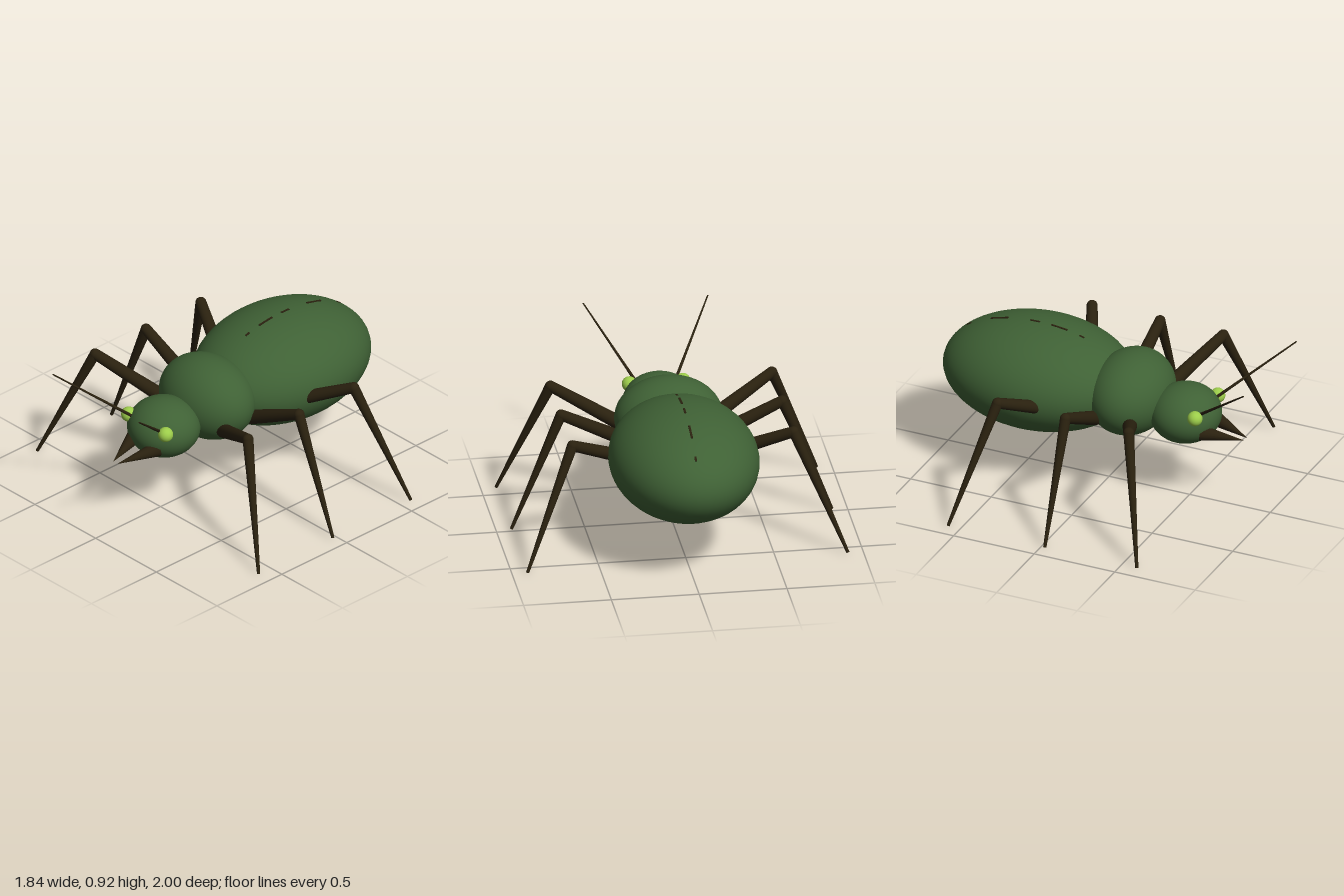
import * as THREE from 'three';

const shell = new THREE.MeshStandardMaterial({ color: 0x3f6135 });
shell.name = 'shell green';
const dark = new THREE.MeshStandardMaterial({ color: 0x2a210f });
dark.name = 'limb brown';
const lime = new THREE.MeshStandardMaterial({ color: 0x9ccc4a });
lime.name = 'eye lime';

const UP = new THREE.Vector3(0, 1, 0);

function ellipsoid(name, material, center, radii) {
  const mesh = new THREE.Mesh(new THREE.SphereGeometry(1, 48, 32), material);
  mesh.name = name;
  mesh.position.set(...center);
  mesh.scale.set(...radii);
  return mesh;
}

// Tapered rod from point a (radius ra) to point b (radius rb)
function rod(name, a, b, ra, rb) {
  const from = new THREE.Vector3(...a), to = new THREE.Vector3(...b);
  const dir = to.clone().sub(from);
  const mesh = new THREE.Mesh(new THREE.CylinderGeometry(rb, ra, dir.length(), 16), dark);
  mesh.name = name;
  mesh.position.copy(from).add(to).multiplyScalar(0.5);
  mesh.quaternion.setFromUnitVectors(UP, dir.normalize());
  return mesh;
}

function leg(name, root, knee, foot) {
  const group = new THREE.Group();
  group.name = name;
  group.add(
    rod('upperLeg', root, knee, 0.042, 0.031),
    ellipsoid('knee', dark, knee, [0.031, 0.031, 0.031]),
    rod('lowerLeg', knee, foot, 0.031, 0.009),
  );
  return group;
}

export function createModel() {
  const model = new THREE.Group();
  model.name = 'ant';

  // Body
  const abdomenCenter = [0, 0.58, -0.43], abdomenRadii = [0.423, 0.31, 0.57];
  model.add(
    ellipsoid('abdomen', shell, abdomenCenter, abdomenRadii),
    ellipsoid('thorax', shell, [0, 0.582, 0.14], [0.308, 0.238, 0.238]),
    ellipsoid('head', shell, [0, 0.522, 0.475], [0.21, 0.168, 0.205]),
  );

  // Broken dark line along the back
  for (const [z, length] of [[-0.87, 0.03], [-0.68, 0.11], [-0.46, 0.06], [-0.31, 0.1], [-0.17, 0.03]]) {
    const t = (z - abdomenCenter[2]) / abdomenRadii[2];
    const h = Math.sqrt(1 - t * t);
    const dash = new THREE.Mesh(new THREE.BoxGeometry(0.012, 0.006, length), dark);
    dash.name = 'backDash';
    dash.position.set(0, abdomenCenter[1] + abdomenRadii[1] * h, z);
    dash.rotation.x = Math.atan(abdomenRadii[1] * t / (abdomenRadii[2] * h));
    model.add(dash);
  }

  // Paired parts: root, knee and foot depth for each leg
  const legs = { front: [0.24, 0.415, 0.597], middle: [0.025, 0.022, 0.025], rear: [-0.22, -0.4, -0.575] };
  for (const [side, s] of [['left', 1], ['right', -1]]) {
    for (const [row, [root, knee, foot]] of Object.entries(legs)) {
      model.add(leg(`${side}_${row}Leg`, [s * 0.24, 0.5, root], [s * 0.63, 0.69, knee], [s * 0.912, 0.003, foot]));
    }
    model.add(
      ellipsoid(`${side}_eye`, lime, [s * 0.152, 0.585, 0.603], [0.043, 0.043, 0.043]),
      rod(`${side}_antenna`, [s * 0.115, 0.595, 0.615], [s * 0.355, 0.92, 0.998], 0.009, 0.004),
      rod(`${side}_mandible`, [s * 0.095, 0.47, 0.61], [s * 0.018, 0.434, 0.845], 0.046, 0.001),
    );
  }
  return model;
}
